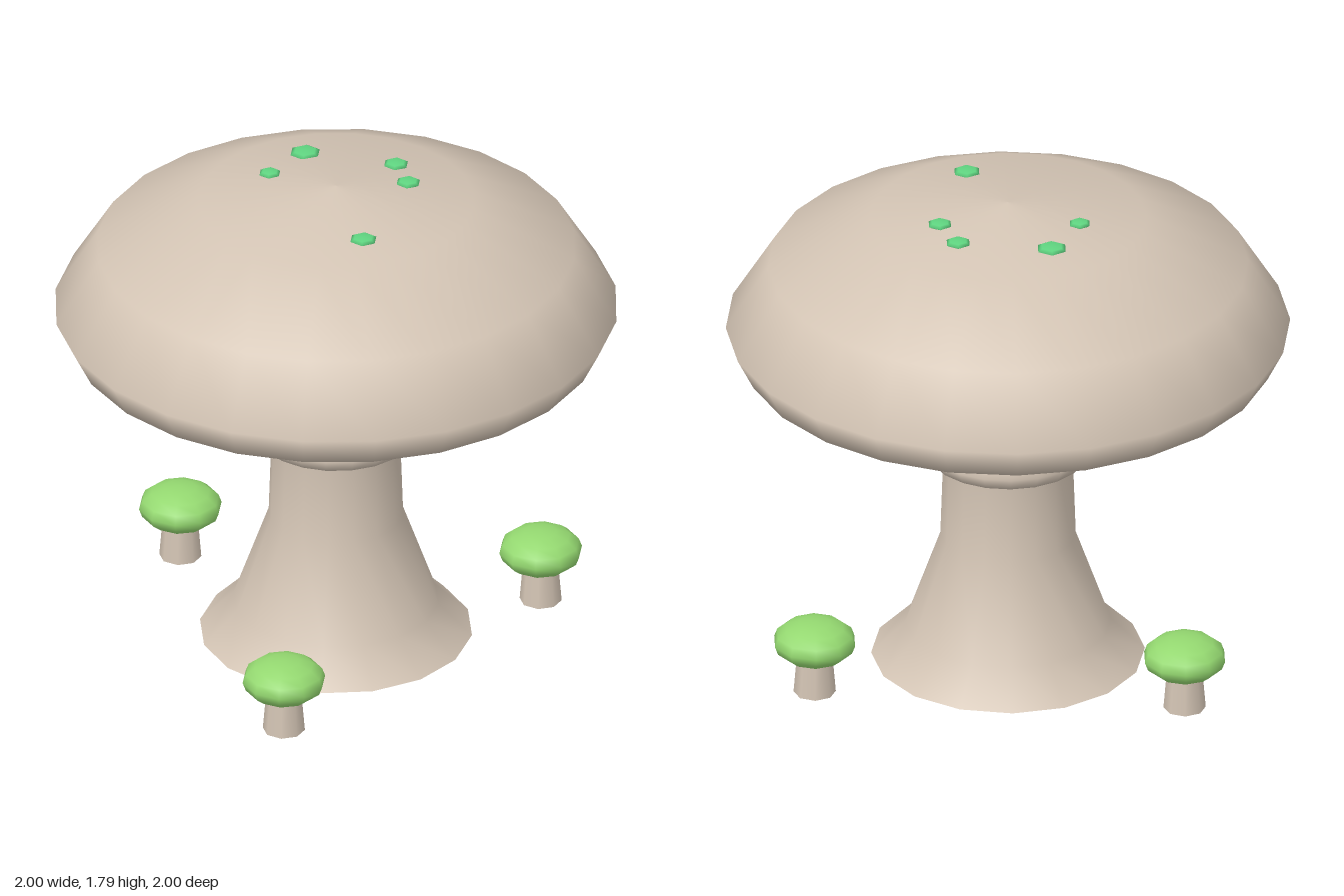
import * as THREE from 'three';

const tan = new THREE.MeshStandardMaterial({ color: 0xd3c4b4 });
tan.name = 'pale tan';
const leafGreen = new THREE.MeshStandardMaterial({ color: 0x94d870 });
leafGreen.name = 'leaf green';
const spotGreen = new THREE.MeshStandardMaterial({ color: 0x5fd480 });
spotGreen.name = 'spot green';

function add(parent, name, geometry, material, x = 0, y = 0, z = 0) {
  const mesh = new THREE.Mesh(geometry, material);
  mesh.name = name;
  mesh.position.set(x, y, z);
  parent.add(mesh);
  return mesh;
}

const lathe = (points, sides) =>
  new THREE.LatheGeometry(points.map(([r, y]) => new THREE.Vector2(r, y)), sides);

// Flattened ball with its corners on the z axis
const flatBall = (radius, height, sides, rings) =>
  new THREE.SphereGeometry(1, sides, rings).rotateY(Math.PI / 2).scale(radius, height, radius);

export function createModel() {
  const model = new THREE.Group();
  model.name = 'mushroom';

  // Flared stem with a flat base
  add(model, 'stem', lathe([
    [0.485, 0], [0.365, 0.12], [0.24, 0.47], [0.225, 0.91], [0.305, 1.1],
  ], 16), tan);
  add(model, 'stemBase', new THREE.CircleGeometry(0.485, 16).rotateX(Math.PI / 2), tan);

  // Collar around the stem
  add(model, 'collar', new THREE.TorusGeometry(0.255, 0.055, 6, 20).rotateX(Math.PI / 2), tan, 0, 0.837, 0);

  // Broad cap
  add(model, 'cap', lathe([
    [0, 1.05], [0.305, 1.095], [0.942, 1.19], [1, 1.305], [0.85, 1.548], [0.49, 1.73], [0, 1.79],
  ], 24), tan);

  // Small spots resting on the cap top: x, z, radius
  const spots = [
    [-0.145, -0.29, 0.056], [0.185, -0.24, 0.046], [0.245, -0.105, 0.045],
    [-0.25, -0.115, 0.04], [0.135, 0.31, 0.05],
  ];
  for (const [x, z, r] of spots) {
    const surface = 1.79 - 0.122 * Math.hypot(x, z);
    add(model, 'capSpot', flatBall(r, 0.012, 6, 4), spotGreen, x, surface + 0.004, z);
  }

  // Young mushrooms around the foot
  for (const [x, z] of [[-0.61, -0.455], [-0.095, 0.755], [0.695, -0.29]]) {
    const small = new THREE.Group();
    small.name = 'smallMushroom';
    small.position.set(x, 0, z);
    add(small, 'smallStem', new THREE.CylinderGeometry(0.06, 0.075, 0.18, 8), tan, 0, 0.09, 0);
    add(small, 'smallCap', flatBall(0.149, 0.08, 10, 8), leafGreen, 0, 0.2, 0);
    model.add(small);
  }
  return model;
}
